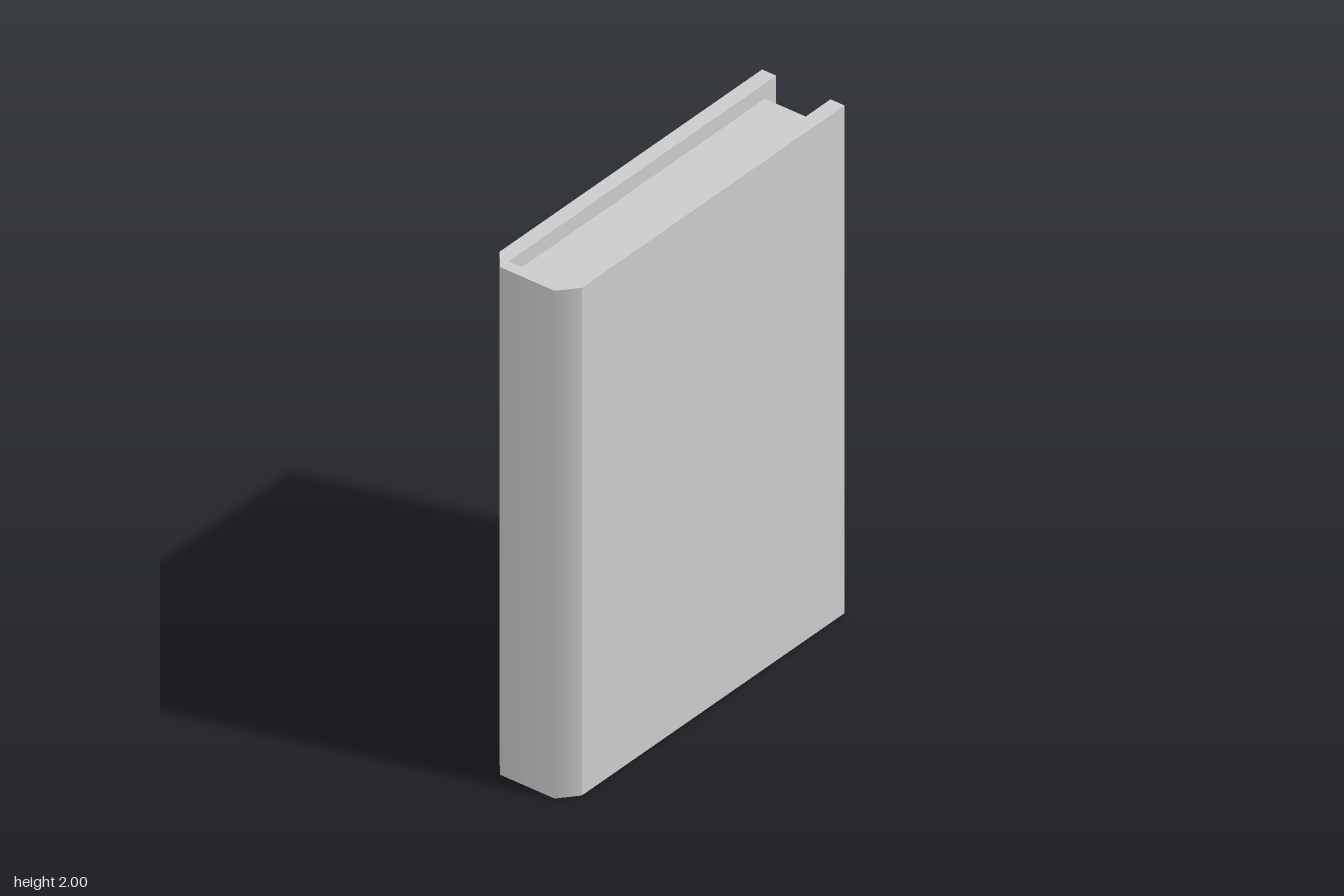
import * as THREE from 'three';

const H = 2;            // cover height
const X = 0.173;        // outer half width
const XI = 0.114;       // inner half width
const Z = 0.73;         // outer half depth
const CHAMFER_Z = 0.66; // where the spine bevel starts
const SPINE_Z = 0.685;  // inner face of the spine at the rims
const PAGE_Z = 0.67;    // half depth of the page block
const INSET = 0.06;     // pages sit back from the cover rims

const material = new THREE.MeshStandardMaterial({ color: 0xcccccc });

function extrude(points, depth) {
  const shape = new THREE.Shape(points.map(([x, y]) => new THREE.Vector2(x, y)));
  return new THREE.ExtrudeGeometry(shape, { depth, bevelEnabled: false });
}

function addPart(group, name, geometry) {
  const mesh = new THREE.Mesh(geometry, material);
  mesh.name = name;
  group.add(mesh);
}

// U-shaped cover: two boards joined by a bevelled spine
function coverGeometry() {
  const half = [[XI, -SPINE_Z], [XI, Z], [X, Z], [X, -CHAMFER_Z], [XI, -Z]];
  const mirrored = half.map(([x, y]) => [-x, y]).reverse();
  const geometry = extrude([...half, ...mirrored], H).rotateX(-Math.PI / 2);
  // Soft shading across the spine bevels, sharp against the boards
  const pos = geometry.attributes.position;
  const nor = geometry.attributes.normal;
  const angle = 0.43;
  for (let i = 0; i < pos.count; i++) {
    if (nor.getZ(i) > 0.3 && pos.getZ(i) > Z - 0.01) {
      nor.setXYZ(i, Math.sign(pos.getX(i)) * Math.sin(angle), 0, Math.cos(angle));
    }
  }
  return geometry;
}

// Filler between pages and spine, sloping outwards at both ends
function liningGeometry() {
  return extrude([[SPINE_Z, 0], [SPINE_Z, H], [PAGE_Z, H - INSET], [PAGE_Z, INSET]], 2 * XI)
    .rotateY(-Math.PI / 2)
    .translate(XI, 0, 0);
}

export function createModel() {
  const book = new THREE.Group();
  book.name = 'book';
  addPart(book, 'cover', coverGeometry());
  addPart(book, 'spineLining', liningGeometry());
  addPart(book, 'pages',
    new THREE.BoxGeometry(2 * XI, H - 2 * INSET, 2 * PAGE_Z).translate(0, H / 2, 0));
  return book;
}
